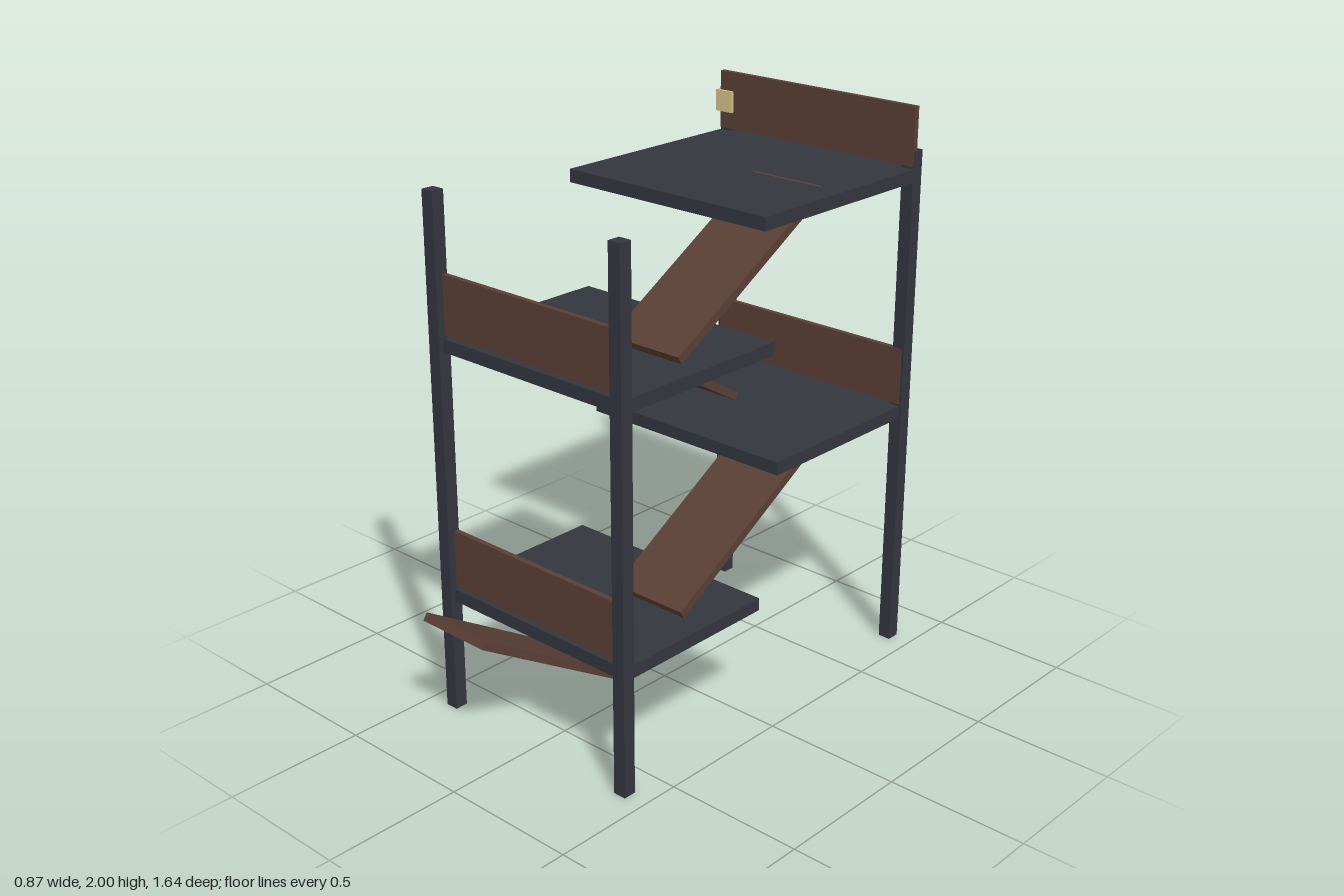
import * as THREE from 'three';

export function createModel() {
  const group = new THREE.Group();
  const make = (name, color) => {
    const m = new THREE.MeshStandardMaterial({ color });
    m.name = name;
    return m;
  };
  const slate = make('dark slate', 0x34363f);
  const wood = make('brown wood', 0x5a3f35);
  const tan = make('pale tan', 0xd8c28c);

  // Box given by its lower and upper limits on each axis
  const box = (name, material, [x0, x1], [y0, y1], [z0, z1]) => {
    const mesh = new THREE.Mesh(new THREE.BoxGeometry(x1 - x0, y1 - y0, z1 - z0), material);
    mesh.position.set((x0 + x1) / 2, (y0 + y1) / 2, (z0 + z1) / 2);
    mesh.name = name;
    group.add(mesh);
    return mesh;
  };

  // Four corner posts
  for (const x of [[-0.425, -0.377], [0.383, 0.43]])
    for (const [side, z] of [['front', [0.608, 0.655]], ['back', [-0.81, -0.762]]])
      box(side + 'Post', slate, x, [0, 1.847], z);

  // Platforms alternating front and back, each with an upright board at its outer edge
  const levels = [
    { y: 0.413, z: [-0.01, 0.636], x: [-0.415, 0.42] },
    { y: 0.882, z: [-0.09, -0.8], x: [-0.415, 0.42] },
    { y: 1.312, z: [-0.06, 0.636], x: [-0.415, 0.42] },
    { y: 1.74, z: [0.01, -0.8], x: [-0.424, 0.43] },
  ];
  levels.forEach(({ y, z, x }, i) => {
    const front = z[1] > 0;
    box('platform' + (i + 1), slate, x, [y, y + 0.046], [Math.min(...z), Math.max(...z)]);
    box('guardBoard' + (i + 1), wood, x, [y + 0.055, y + 0.26],
      front ? [0.609, 0.628] : [-0.778, -0.758]);
  });

  // Sloping ramps, each from a low end to a high end as [z, y]
  const ramps = [
    { x: [-0.33, -0.04], low: [0.126, 0.026], high: [0.811, 0.441] },
    { x: [0.05, 0.34], low: [0.285, 0.482], high: [-0.4, 0.89] },
    { x: [-0.33, -0.04], low: [-0.422, 0.942], high: [0.266, 1.349] },
    { x: [0.05, 0.34], low: [0.3, 1.372], high: [-0.39, 1.776] },
  ];
  ramps.forEach(({ x, low, high }, i) => {
    const dz = high[0] - low[0], dy = high[1] - low[1];
    const half = Math.hypot(dz, dy) / 2;
    const ramp = box('ramp' + (i + 1), wood, x, [-0.015, 0.015], [-half, half]);
    ramp.position.y = (low[1] + high[1]) / 2;
    ramp.position.z = (low[0] + high[0]) / 2;
    ramp.rotation.x = -Math.sign(dz) * Math.atan2(dy, Math.abs(dz));
  });

  // Block on top of the back post
  box('postBlock', tan, [-0.437, -0.363], [1.855, 1.932], [-0.822, -0.748]);

  return group;
}
